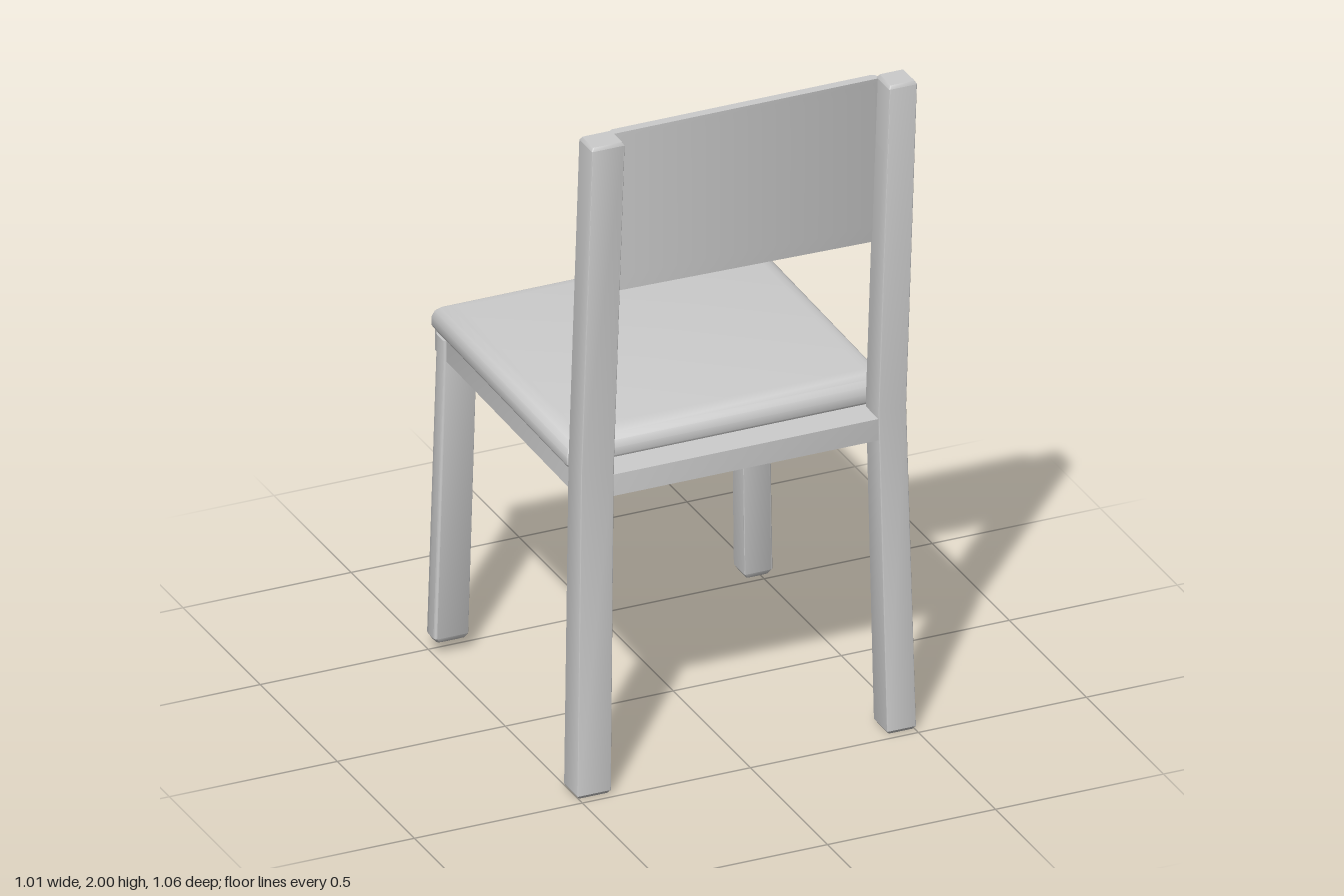
import * as THREE from 'three';
import { toCreasedNormals } from 'three/addons/utils/BufferGeometryUtils.js';

const STEPS = 5; // segments per rounded corner

// Rectangle with four corner radii, in order (x0,z0) (x1,z0) (x1,z1) (x0,z1)
function ring({ y, x: [x0, x1], z: [z0, z1], r = [0, 0, 0, 0], tiltX = 0, tiltZ = 0 }) {
  const most = Math.min(x1 - x0, z1 - z0) * 0.48;
  const corners = [[x0, z0, 1, 1], [x1, z0, -1, 1], [x1, z1, -1, -1], [x0, z1, 1, -1]];
  const points = [];
  corners.forEach(([cx, cz, sx, sz], i) => {
    const rad = Math.min(Math.max(r[i], 0.003), most);
    for (let k = 0; k <= STEPS; k++) {
      const a = Math.PI + (i + k / STEPS) * Math.PI / 2;
      const x = cx + sx * rad + rad * Math.cos(a);
      const z = cz + sz * rad + rad * Math.sin(a);
      points.push([x, y + tiltX * x + tiltZ * z, z]);
    }
  });
  return points;
}

// Closed solid through a stack of rings, bottom to top
function loft(name, sections) {
  const rings = sections.map(ring);
  const n = rings[0].length;
  const positions = rings.flat(2);
  const index = [];
  for (let s = 0; s < rings.length - 1; s++) {
    for (let i = 0; i < n; i++) {
      const a = s * n + i, b = s * n + (i + 1) % n;
      index.push(a, a + n, b, b, a + n, b + n);
    }
  }
  [0, rings.length - 1].forEach((s) => {
    const centre = positions.length / 3;
    for (let k = 0; k < 3; k++) positions.push(rings[s].reduce((t, p) => t + p[k], 0) / n);
    for (let i = 0; i < n; i++) {
      const a = s * n + i, b = s * n + (i + 1) % n;
      index.push(centre, ...(s === 0 ? [a, b] : [b, a]));
    }
  });
  const geometry = new THREE.BufferGeometry();
  geometry.setAttribute('position', new THREE.Float32BufferAttribute(positions, 3));
  geometry.setIndex(index);
  const mesh = new THREE.Mesh(toCreasedNormals(geometry, 0.6),
    new THREE.MeshStandardMaterial({ color: 0xcccccc }));
  mesh.name = name;
  return mesh;
}

const inset = ([a, b], d) => [a + d, b - d];

export function createModel() {
  const chair = new THREE.Group();
  chair.name = 'chair';

  // Back posts: splayed below the seat, leaning back above it
  const posts = [
    ['rightBackPost', [-0.505, -0.405], [-0.485, -0.387]],
    ['leftBackPost', [0.417, 0.503], [0.4, 0.483]],
  ];
  for (const [name, foot, top] of posts) {
    chair.add(loft(name, [
      { y: 0, x: inset(foot, 0.007), z: [0.397, 0.473] },
      { y: 0.01, x: foot, z: [0.39, 0.48] },
      { y: 0.98, x: top, z: [0.375, 0.46] },
      { y: 1.99, x: top, z: [0.445, 0.53] },
      { y: 2, x: inset(top, 0.006), z: [0.452, 0.525] },
    ]));
  }

  // Front legs: slight splay, rounded outer corner and rounded foot
  const legs = [
    ['rightFrontLeg', [-0.505, -0.405], [-0.485, -0.387], [0.055, 0.015, 0, 0.01]],
    ['leftFrontLeg', [0.417, 0.503], [0.4, 0.483], [0.015, 0.035, 0.01, 0]],
  ];
  for (const [name, foot, top, r] of legs) {
    chair.add(loft(name, [
      { y: 0.035, x: inset(foot, 0.022), z: [-0.508, -0.462], r },
      { y: 0.041, x: inset(foot, 0.009), z: [-0.52, -0.452], r },
      { y: 0.055, x: foot, z: [-0.528, -0.445], r },
      { y: 0.9, x: top, z: [-0.511, -0.43], r },
      { y: 0.965, x: top, z: [-0.51, -0.43], r },
    ]));
  }

  // Seat frame, rising a little towards the front
  const frame = { x: [-0.478, 0.478], z: [-0.507, 0.457], tiltZ: -0.016 };
  chair.add(loft('seatFrame', [{ ...frame, y: 0.897 }, { ...frame, y: 0.962 }]));

  // Cushion with a rounded upper edge: [height, inset]
  const edge = [[0.962, 0.004], [0.97, 0], [0.992, 0], [1.012, 0.007], [1.026, 0.02], [1.035, 0.038], [1.039, 0.06]];
  chair.add(loft('seatCushion', edge.map(([y, d]) => ({
    y, x: inset([-0.485, 0.484], d), z: inset([-0.515, 0.368], d), tiltZ: -0.02,
  }))));

  // Backrest panel: bevelled lower edge, rounded front edges: [height, front, back]
  const panel = [[1.482, 0.402, 0.416], [1.53, 0.375, 0.42], [1.955, 0.407, 0.452],
    [1.977, 0.414, 0.454], [1.99, 0.428, 0.455]];
  chair.add(loft('backrest', panel.map(([y, front, back], i) => ({
    y, x: [-0.39, 0.404], z: [front, back], r: [0.03, 0.03, 0, 0], tiltX: i < 2 ? -0.018 : 0,
  }))));

  return chair;
}
